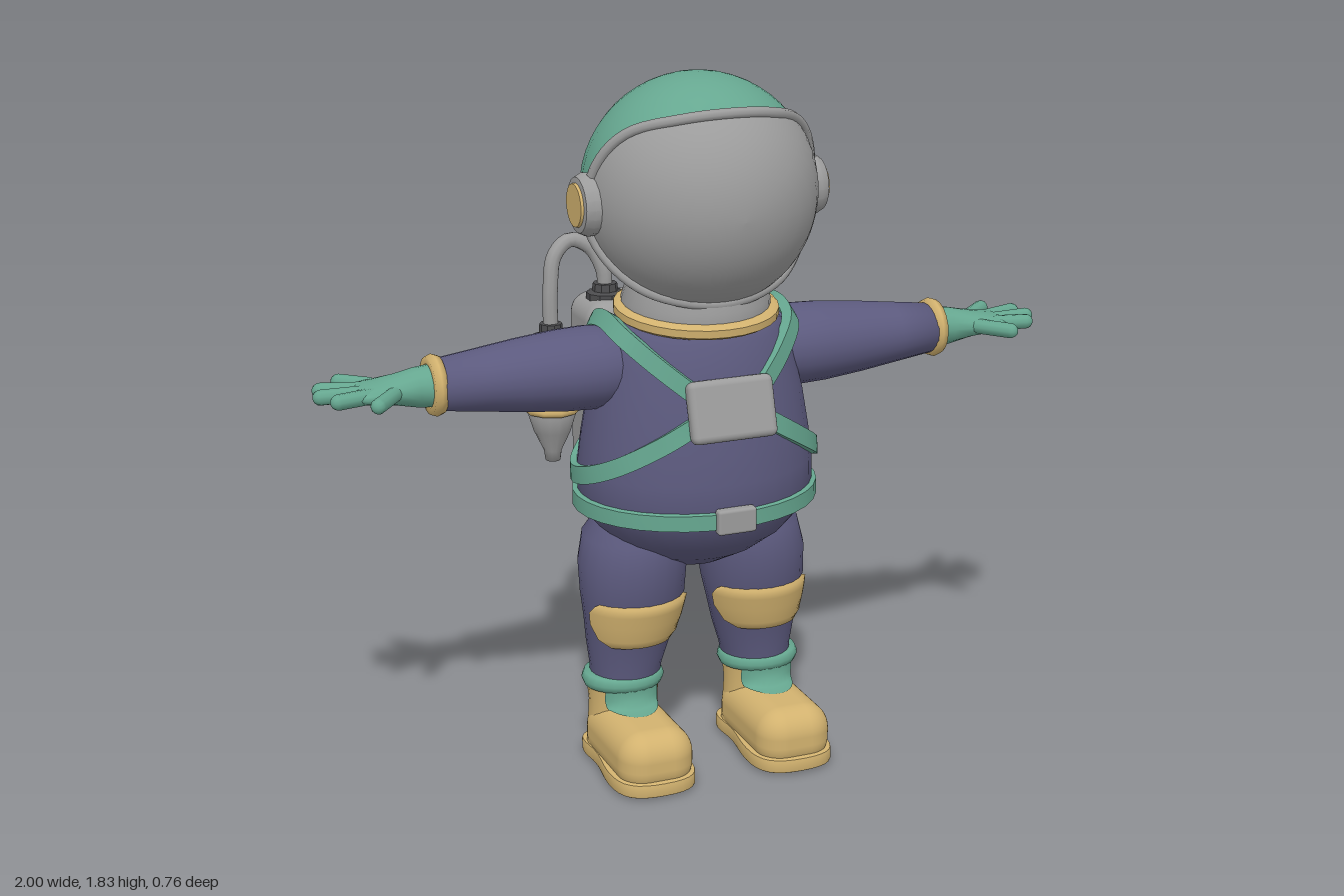
import * as THREE from 'three';
import { toCreasedNormals } from 'three/addons/utils/BufferGeometryUtils.js';
import { RoundedBoxGeometry } from 'three/addons/geometries/RoundedBoxGeometry.js';

const V = (x, y, z) => new THREE.Vector3(x, y, z);
const mat = (name, color) => {
  const m = new THREE.MeshStandardMaterial({ color });
  m.name = name;
  return m;
};

export function createModel() {
  const root = new THREE.Group();
  root.name = 'astronaut';
  const navy = mat('navy suit', 0x5c5a7e), green = mat('green', 0x66a790), grey = mat('grey shell', 0x9c9c9c);
  const gold = mat('gold', 0xd2b26f), dark = mat('dark fittings', 0x4c4c4e);

  const add = (name, geo, material, x = 0, y = 0, z = 0) => {
    const m = new THREE.Mesh(geo, material);
    m.name = name;
    m.position.set(x, y, z);
    root.add(m);
    return m;
  };
  const lathe = (pts, seg = 28, crease = 0) => {
    const g = new THREE.LatheGeometry(pts.map(p => new THREE.Vector2(...p)), seg);
    return crease ? toCreasedNormals(g, crease) : g;
  };
  // Skin over rows of points, optionally wrapping around
  const grid = (rows, closed) => {
    const n = rows[0].length, idx = [];
    for (let i = 0; i < rows.length - 1; i++) {
      for (let j = 0; j < (closed ? n : n - 1); j++) {
        const a = i * n + j, b = i * n + (j + 1) % n;
        idx.push(a, b, b + n, a, b + n, a + n);
      }
    }
    const g = new THREE.BufferGeometry().setFromPoints(rows.flat());
    g.setIndex(idx);
    g.computeVertexNormals();
    return g;
  };
  // Upright loft of ellipses [y, cx, cz, rx, rz, halfAngle]
  const loft = (sections, closed = true, n = 24) => grid(sections.map(([y, cx, cz, rx, rz, h = Math.PI]) =>
    Array.from({ length: n }, (_, j) => {
      const a = -h + 2 * h * j / (closed ? n : n - 1);
      return V(cx + rx * Math.sin(a), y, cz + rz * Math.cos(a));
    })), closed);
  const rod = (name, a, b, r, material) => {
    const d = b.clone().sub(a), mid = a.clone().add(b).multiplyScalar(0.5);
    const m = add(name, new THREE.CapsuleGeometry(r, d.length(), 4, 10), material, mid.x, mid.y, mid.z);
    m.quaternion.setFromUnitVectors(V(0, 1, 0), d.normalize());
  };
  // Flat strap following a path, facing away from the trunk axis
  const strap = (name, pts) => {
    const c = new THREE.CatmullRomCurve3(pts), rows = [];
    for (let i = 0; i <= 28; i++) {
      const p = c.getPoint(i / 28), t = c.getTangent(i / 28);
      const out = p.clone().sub(V(0, Math.min(p.y, 1.05), 0.06));
      const b = t.clone().cross(out).normalize().multiplyScalar(0.023);
      const n = b.clone().cross(t).normalize().multiplyScalar(0.014);
      rows.push([[-1, 1], [1, 1], [1, -1], [-1, -1]].map(([u, v]) => p.clone().addScaledVector(b, u).addScaledVector(n, v)));
    }
    add(name, toCreasedNormals(grid(rows, true), 0.7), green);
  };

  // Trunk and belt share an oval plan
  const body = [[0, 0.53], [0.08, 0.54], [0.17, 0.582], [0.24, 0.63], [0.292, 0.69], [0.313, 0.75], [0.313, 0.82],
    [0.302, 0.9], [0.285, 1.0], [0.26, 1.1], [0.237, 1.17], [0.205, 1.21], [0, 1.22]];
  const oval = m => { m.scale.z = 0.84; m.position.z = 0.06; };
  oval(add('torso', lathe(body, 32), navy));
  oval(add('belt', lathe([[0.3, 0.704], [0.326, 0.709], [0.326, 0.75], [0.3, 0.756]], 32, 0.6), green));
  add('beltBuckle', new RoundedBoxGeometry(0.105, 0.066, 0.03, 2, 0.008), grey, 0, 0.731, 0.333);
  add('chestBox', new RoundedBoxGeometry(0.23, 0.158, 0.045, 3, 0.018), grey, 0, 1.015, 0.3).rotation.x = -0.29;
  const onBody = (s, a, y) => {
    const i = body.findIndex(p => p[1] > y), [r0, y0] = body[i - 1], [r1, y1] = body[i];
    const r = r0 + (r1 - r0) * (y - y0) / (y1 - y0) + 0.003;
    return V(s * r * Math.sin(a), y, 0.06 + 0.84 * r * Math.cos(a));
  };

  // Helmet: two half shells, neck, collar
  const hc = V(0, 1.53, 0.08);
  const shell = (name, t0, material) => add(name, new THREE.SphereGeometry(0.298, 32, 14, 0, Math.PI * 2, t0, Math.PI / 2), material, hc.x, hc.y, hc.z);
  shell('helmetCap', 0, green);
  shell('helmetLowerShell', Math.PI / 2, grey);
  add('neckRing', lathe([[0.19, 1.21], [0.192, 1.25], [0.175, 1.3]]), grey, 0, 0, 0.065);
  add('collar', lathe([[0.16, -0.018], [0.2, -0.018], [0.212, -0.01], [0.212, 0.01], [0.2, 0.018], [0.16, 0.018]], 28, 0.6), gold, 0, 1.222, 0.068).rotation.x = 0.08;

  // Visor: spherical patch spanning the rim curve
  const half = [[0.12, 0.222, 0.18], [0.226, 0.18, 0.1], [0.278, 0.11, 0.05], [0.3, 0, 0.012], [0.288, -0.09, 0.012],
    [0.245, -0.18, 0.065], [0.165, -0.238, 0.12]];
  const rimPts = [[0, 0.228, 0.2], ...half, [0, -0.262, 0.16], ...half.map(([x, y, z]) => [-x, y, z]).reverse()];
  const rim = new THREE.CatmullRomCurve3(rimPts.map(p => V(...p).setLength(0.304)), true);
  const edge = rim.getPoints(64).slice(0, 64), middle = V(0, -0.02, 0.3);
  const rings = Array.from({ length: 11 }, (_, k) => edge.map(p => middle.clone().lerp(p, k / 10).setLength(0.303)));
  add('visor', grid(rings, true), grey, hc.x, hc.y, hc.z);
  add('visorRim', new THREE.TubeGeometry(rim, 80, 0.014, 8, true), grey, hc.x, hc.y, hc.z);

  // Parts that come in left and right pairs
  for (const s of [1, -1]) {
    const side = s > 0 ? 'left' : 'right';
    const outward = (name, geo, m, x, y, z) => {
      const mesh = add(side + name, geo, m, s * x, y, z);
      mesh.rotation.z = -s * Math.PI / 2;
      return mesh;
    };
    outward('EarCup', lathe([[0.075, -0.03], [0.08, 0.015], [0.07, 0.035], [0.056, 0.037], [0, 0.037]], 20, 0.6), grey, 0.292, 1.52, 0.09);
    outward('EarDisc', new THREE.CylinderGeometry(0.054, 0.056, 0.008, 20), gold, 0.332, 1.52, 0.09);

    // Harness
    strap(side + 'LowerStrap', [[0.3, 0.985], [0.6, 0.93], [1.0, 0.865], [1.4, 0.82], [1.8, 0.8], [2.25, 0.82], [2.6, 0.88]].map(([a, y]) => onBody(s, a, y)));
    strap(side + 'ShoulderStrap', [onBody(s, 0.3, 1.05), onBody(s, 0.72, 1.125), V(s * 0.228, 1.185, 0.15), V(s * 0.238, 1.205, 0.05),
      V(s * 0.235, 1.175, -0.05), V(s * 0.22, 1.09, -0.115), V(s * 0.19, 1.0, -0.16)]);

    // Arm, cuff, glove
    outward('Arm', lathe([[0.07, 0.12], [0.098, 0.2], [0.107, 0.28], [0.104, 0.36], [0.093, 0.47], [0.08, 0.57], [0.066, 0.68], [0, 0.7]], 22), navy, 0, 1.085, 0.04).scale.z = 1.13;
    outward('Cuff', lathe([[0.055, -0.016], [0.073, -0.016], [0.079, 0], [0.073, 0.016], [0.055, 0.016]], 20), gold, 0.692, 1.085, 0.04);
    const palm = [[0.69, 0.055, 0.058], [0.74, 0.05, 0.054], [0.79, 0.038, 0.058], [0.84, 0.028, 0.072], [0.88, 0.022, 0.07], [0.9, 0.012, 0.058], [0.905, 0.001, 0.001]];
    add(side + 'Palm', grid(palm.map(([x, ry, rz]) => Array.from({ length: 16 }, (_, j) => {
      const a = s * j * Math.PI / 8;
      return V(s * x, 1.085 + ry * Math.cos(a), 0.04 + rz * Math.sin(a));
    })), true), green);
    const digits = [[0.84, -0.015, 0.905, -0.073], [0.87, 0.015, 0.968, -0.015], [0.87, 0.045, 0.98, 0.04], [0.86, 0.075, 0.95, 0.095], [0.79, 0.065, 0.868, 0.162]];
    for (const [x0, z0, x1, z1] of digits) rod(side + 'Finger', V(s * x0, 1.087, z0), V(s * x1, 1.087, z1), 0.02, green);

    // Leg with knee pad
    add(side + 'Leg', loft([[0.2, s * 0.19, 0.03, 0.09, 0.088], [0.26, s * 0.186, 0.032, 0.097, 0.092], [0.33, s * 0.18, 0.035, 0.113, 0.103],
      [0.4, s * 0.175, 0.04, 0.125, 0.117], [0.47, s * 0.171, 0.046, 0.139, 0.133], [0.55, s * 0.168, 0.038, 0.143, 0.15], [0.62, s * 0.16, 0.03, 0.135, 0.15], [0.68, s * 0.15, 0.03, 0.1, 0.12]]), navy);
    const pad = loft([[0.338, s * 0.18, 0.037, 0.1, 0.09, 0.6], [0.34, s * 0.18, 0.037, 0.118, 0.116, 0.75], [0.36, s * 0.178, 0.038, 0.127, 0.126, 1.05],
      [0.4, s * 0.175, 0.042, 0.136, 0.132, 1.25], [0.435, s * 0.173, 0.044, 0.142, 0.139, 1.25], [0.458, s * 0.171, 0.045, 0.145, 0.143, 1.1], [0.467, s * 0.171, 0.045, 0.13, 0.125, 0.95]], false, 18);
    add(side + 'KneePad', pad, gold).material.side = THREE.DoubleSide;

    // Boot
    const bx = s * 0.195;
    add(side + 'AnkleBand', loft([[0.203, bx, 0.032, 0.09, 0.08], [0.205, bx, 0.032, 0.104, 0.092], [0.222, bx, 0.032, 0.111, 0.099], [0.24, bx, 0.032, 0.104, 0.092], [0.243, bx, 0.032, 0.08, 0.07]]), green);
    add(side + 'BootShaft', loft([[0.03, bx, 0.035, 0.1, 0.085], [0.1, bx, 0.035, 0.096, 0.082], [0.16, bx, 0.035, 0.093, 0.08], [0.21, bx, 0.033, 0.097, 0.086]]), gold);
    add(side + 'BootToe', new RoundedBoxGeometry(0.205, 0.165, 0.35, 5, 0.07), gold, bx, 0.076, 0.15);
    add(side + 'BootTongue', loft([[0.1605, bx, 0.05, 0.078, 0.135, 1.1], [0.164, bx, 0.045, 0.085, 0.1, 1.0], [0.18, bx, 0.037, 0.098, 0.086, 0.85], [0.212, bx, 0.033, 0.102, 0.092, 0.8]], false, 12), green);
    const o = new THREE.Shape();
    o.moveTo(0, -0.055);
    o.bezierCurveTo(0.1, -0.055, 0.108, -0.02, 0.103, 0.04);
    o.bezierCurveTo(0.092, 0.11, 0.112, 0.15, 0.113, 0.22);
    o.bezierCurveTo(0.115, 0.31, 0.08, 0.337, 0, 0.337);
    o.bezierCurveTo(-0.08, 0.337, -0.115, 0.31, -0.113, 0.22);
    o.bezierCurveTo(-0.112, 0.15, -0.092, 0.11, -0.103, 0.04);
    o.bezierCurveTo(-0.108, -0.02, -0.1, -0.055, 0, -0.055);
    const sole = new THREE.ExtrudeGeometry(o, { depth: 0.026, bevelSize: 0.004, bevelThickness: 0.006, bevelSegments: 2, bevelOffset: -0.004, curveSegments: 8 });
    sole.rotateX(Math.PI / 2);
    sole.scale(1, 1, 1);
    add(side + 'Sole', toCreasedNormals(sole, 0.6), gold, bx, 0.032, 0);

    // Air tank, bands, hose and fittings
    const tx = s * 0.288, tz = -0.232;
    add(side + 'Tank', lathe([[0, 0.75], [0.02, 0.752], [0.024, 0.78], [0.05, 0.835], [0.064, 0.88], [0.066, 1.04], [0.058, 1.075], [0, 1.085]], 14), grey, tx, 0, tz);
    for (const y of [0.9, 1.05]) add(side + 'TankBand', lathe([[0.055, -0.012], [0.073, -0.01], [0.076, 0], [0.073, 0.01], [0.055, 0.012]], 10), gold, tx, y, tz);
    add(side + 'TankCap', lathe([[0.052, 1.065], [0.052, 1.095], [0.032, 1.1], [0.03, 1.13], [0, 1.132]], 10, 0.6), dark, tx, 0, tz);
    const hx = s * 0.135, hz = -0.232;
    add(side + 'HoseSocket', lathe([[0.05, 1.18], [0.05, 1.2], [0.035, 1.205], [0.032, 1.225], [0, 1.226]], 10, 0.6), dark, hx, 0, hz);
    const hose = new THREE.CatmullRomCurve3([V(tx, 1.1, tz), V(tx, 1.22, tz), V(s * 0.272, 1.31, -0.24), V(s * 0.225, 1.345, -0.25),
      V(s * 0.17, 1.32, -0.245), V(s * 0.14, 1.26, hz), V(hx, 1.2, hz)]);
    add(side + 'Hose', new THREE.TubeGeometry(hose, 28, 0.02, 10), grey);
    // Dial on the pack
    const dial = add(side + 'Dial', new THREE.CylinderGeometry(0.044, 0.05, 0.04, 10), navy, s * 0.065, 0.958, -0.357);
    dial.rotation.x = -Math.PI / 2;
  }

  // Backpack with raised panel frame
  add('backpack', new RoundedBoxGeometry(0.42, 0.49, 0.205, 4, 0.055), grey, 0, 0.945, -0.235);
  const rect = (p, w, h, r) => {
    p.moveTo(-w + r, -h);
    for (const [x, y, cx, cy] of [[w - r, -h, w, -h], [w, h - r, w, h], [-w + r, h, -w, h], [-w, -h + r, -w, -h]]) {
      p.lineTo(x, y);
      p.quadraticCurveTo(cx, cy, cx + (cx === x ? (x > 0 ? -r : r) : 0), cy + (cy === y ? (y > 0 ? -r : r) : 0));
    }
    return p;
  };
  const frame = rect(new THREE.Shape(), 0.155, 0.142, 0.025);
  frame.holes.push(rect(new THREE.Path(), 0.13, 0.117, 0.015));
  add('panelFrame', new THREE.ExtrudeGeometry(frame, { depth: 0.02, bevelSize: 0.006, bevelThickness: 0.006, bevelSegments: 2 }), grey, 0, 0.995, -0.352);
  for (const x of [-0.045, 0, 0.045]) add('panelButton', new THREE.SphereGeometry(0.018, 12, 8), green, x, 1.045, -0.34);
  for (let i = -3; i <= 3; i++) add('indicatorStud', new THREE.SphereGeometry(0.011, 8, 6), gold, i * 0.028, 0.808, -0.336);
  add('antennaBase', new THREE.CylinderGeometry(0.018, 0.024, 0.03, 10), dark, 0, 1.2, -0.265);
  add('antenna', new THREE.CylinderGeometry(0.004, 0.005, 0.31, 6), dark, 0, 1.35, -0.265);
  return root;
}
